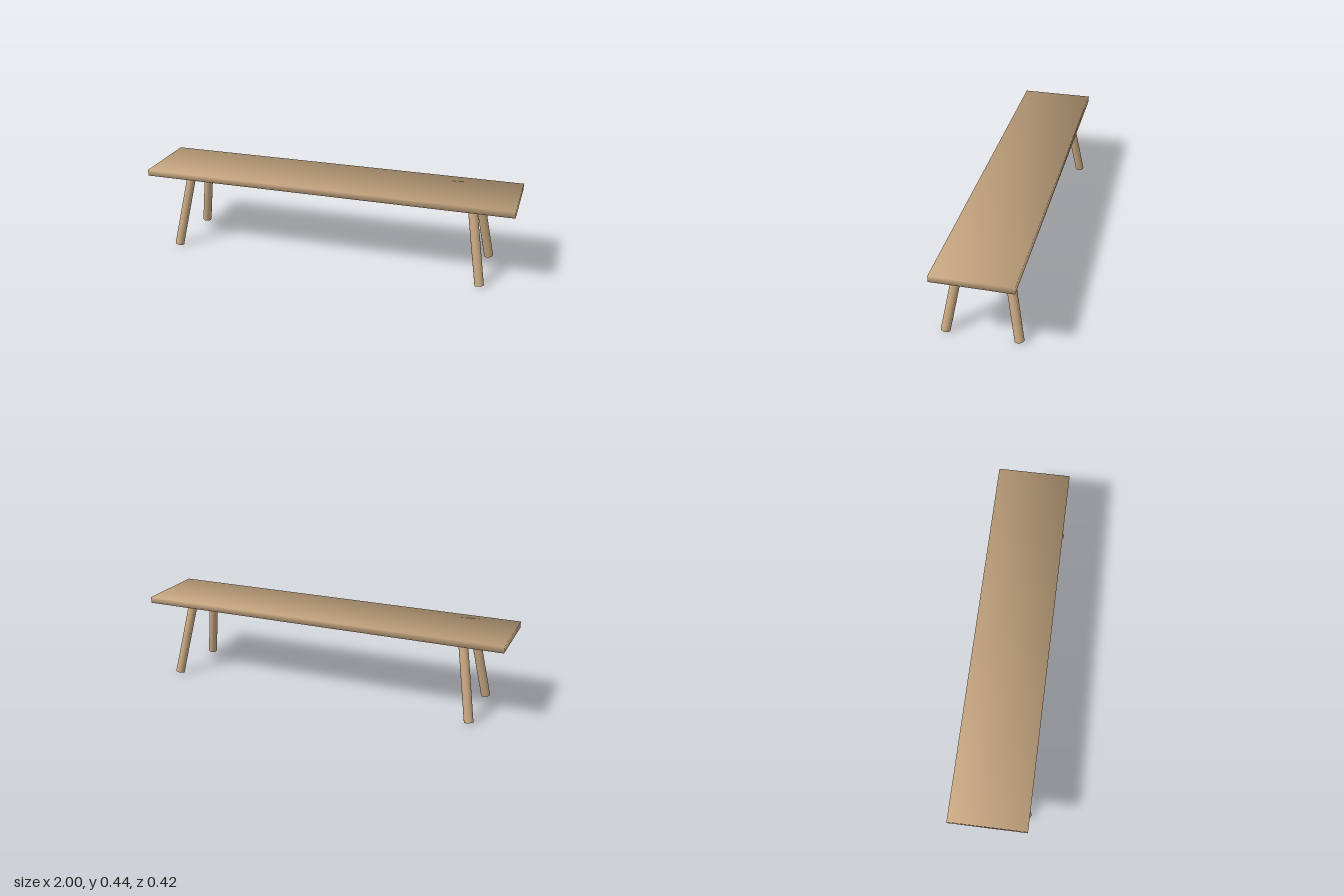
import * as THREE from 'three';

const wood = new THREE.MeshStandardMaterial({ color: 0xc8a882 });

// Plank seat, shaded smoothly across its edges by corner-pointing normals
function makeSeat() {
  const geometry = new THREE.BoxGeometry(2, 0.033, 0.4);
  const { position, normal } = geometry.attributes;
  for (let i = 0; i < position.count; i++) {
    const n = new THREE.Vector3(
      Math.sign(position.getX(i)), Math.sign(position.getY(i)), Math.sign(position.getZ(i))
    ).normalize();
    normal.setXYZ(i, n.x, n.y, n.z);
  }
  const seat = new THREE.Mesh(geometry, wood);
  seat.name = 'seat';
  seat.position.y = 0.4235;
  return seat;
}

// Round leg splayed outwards; its top is let into the seat
function makeLeg(name, sx, sz) {
  const foot = new THREE.Vector3(sx * 0.848, 0.006, sz * 0.184);
  const top = new THREE.Vector3(sx * 0.775, 0.42, sz * 0.111);
  const axis = top.clone().sub(foot);
  const leg = new THREE.Mesh(new THREE.CylinderGeometry(0.024, 0.024, axis.length(), 32), wood);
  leg.name = name;
  leg.position.copy(foot).add(top).multiplyScalar(0.5);
  leg.quaternion.setFromUnitVectors(new THREE.Vector3(0, 1, 0), axis.normalize());
  return leg;
}

export function createModel() {
  const bench = new THREE.Group();
  bench.name = 'bench';
  bench.add(makeSeat());
  for (const sx of [1, -1]) {
    for (const sz of [1, -1]) {
      bench.add(makeLeg(`${sz > 0 ? 'front' : 'back'}${sx > 0 ? 'Left' : 'Right'}Leg`, sx, sz));
    }
  }
  return bench;
}
